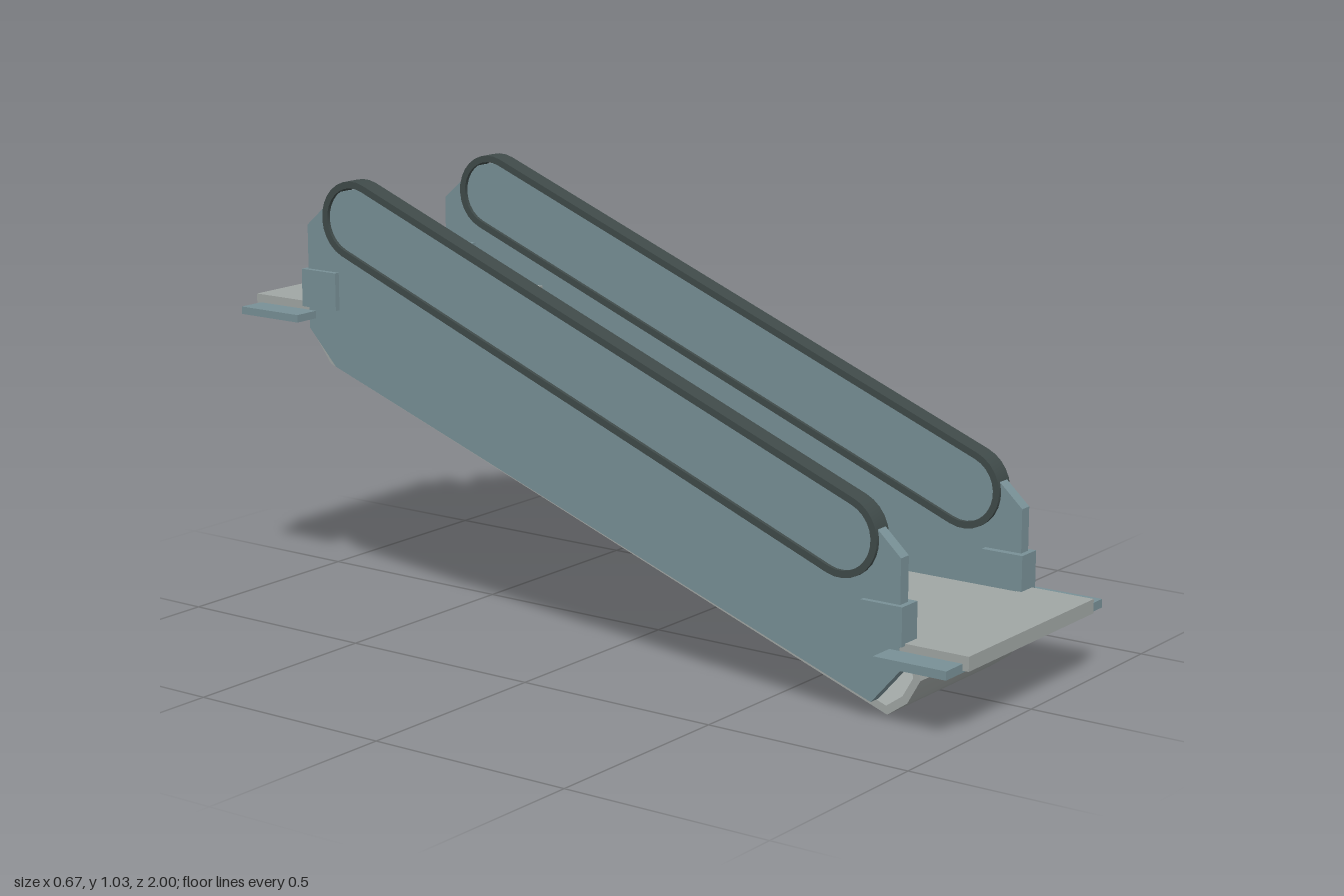
import * as THREE from 'three';
import { toCreasedNormals } from 'three/addons/utils/BufferGeometryUtils.js';

const steel = new THREE.MeshStandardMaterial({ color: 0x789096 });
steel.name = 'blue grey panel';
const stepGrey = new THREE.MeshStandardMaterial({ color: 0xa0a6a4 });
stepGrey.name = 'step grey';
const rubber = new THREE.MeshStandardMaterial({ color: 0x3f4a49 });
rubber.name = 'dark rubber';

const toPoints = (list) => list.map(([z, y]) => new THREE.Vector2(z, y));

// Extrudes a side profile given as (z, y) points across x, centred on x
function profile(name, points, width, x, material, hole) {
  const shape = new THREE.Shape(toPoints(points));
  if (hole) shape.holes.push(new THREE.Path(toPoints(hole)));
  let geo = new THREE.ExtrudeGeometry(shape, { depth: width, bevelEnabled: false });
  geo.translate(0, 0, -width / 2).rotateY(-Math.PI / 2);
  geo = toCreasedNormals(geo, 0.5);
  const mesh = new THREE.Mesh(geo, material);
  mesh.position.x = x;
  mesh.name = name;
  return mesh;
}

// Box from its minimum and maximum corners
function box(name, a, b, material) {
  const size = a.map((v, i) => Math.abs(b[i] - v));
  const mesh = new THREE.Mesh(new THREE.BoxGeometry(...size), material);
  mesh.position.set(...a.map((v, i) => (v + b[i]) / 2));
  mesh.name = name;
  return mesh;
}

// Slanted stadium outline around the two handrail ends
function stadium(r) {
  const low = [0.682, 0.398], high = [-0.682, 0.937], n = 14;
  const slope = Math.atan2(high[1] - low[1], high[0] - low[0]);
  const points = [];
  for (const [c, start] of [[high, slope - Math.PI / 2], [low, slope + Math.PI / 2]]) {
    for (let i = 0; i <= n; i++) {
      const t = start + (Math.PI * i) / n;
      points.push([c[0] + r * Math.cos(t), c[1] + r * Math.sin(t)]);
    }
  }
  return points;
}

export function createModel() {
  const model = new THREE.Group();
  model.name = 'escalator';

  // Stair sheet: lower landing, eight risers, upper landing
  const rises = 8, y0 = 0.185, y1 = 0.728, rise = (y1 - y0) / rises, run = 0.1264;
  const top = [[0.83, y0]];
  for (let i = 0; i < rises; i++) {
    const z = 0.375 - i * run;
    top.push([z, y0 + i * rise], [z, y0 + (i + 1) * rise]);
  }
  top.push([-0.83, y1]);
  const under = top.map(([z, y], i) =>
    [i === 0 || i === top.length - 1 ? z : z - 0.018, y - 0.018]).reverse();
  model.add(profile('steps', [...top, ...under], 0.434, 0, stepGrey));

  // Returning belt below the steps
  model.add(profile('returnBelt', [
    [0.834, 0.167], [0.852, 0.091], [0.82, 0.035], [0.77, 0],
    [-0.812, 0.571], [-0.853, 0.625], [-0.834, 0.7],
    [-0.817, 0.7], [-0.835, 0.63], [-0.802, 0.587],
    [0.767, 0.02], [0.808, 0.049], [0.834, 0.094], [0.817, 0.167],
  ], 0.434, 0, stepGrey));

  // Wide landing plates
  model.add(box('lowerLanding', [-0.267, 0.152, 0.83], [0.267, y0, 1], stepGrey));
  model.add(box('upperLanding', [-0.267, 0.697, -1], [0.267, y1, -0.83], stepGrey));

  for (const side of [1, -1]) {
    const x = 0.2525 * side;
    const group = new THREE.Group();
    group.name = side > 0 ? 'leftBalustrade' : 'rightBalustrade';

    // Side panel
    group.add(profile('sidePanel', [
      [0.83, 0.12], [0.76, 0.04], [-0.75, 0.58], [-0.83, 0.665],
      [-0.83, 0.913], [-0.73, 1.0], [-0.651, 1.016], [0.713, 0.477], [0.83, 0.37],
    ], 0.031, x, steel));

    // Handrail loop
    group.add(profile('handrail', stadium(0.093), 0.049, x, rubber, stadium(0.077)));

    // Brackets clamped over the panel ends
    group.add(box('lowerBracket', [0.22 * side, 0.18, 0.738], [0.281 * side, 0.268, 0.843], steel));
    group.add(box('upperBracket', [0.22 * side, 0.718, -0.84], [0.281 * side, 0.808, -0.735], steel));

    // Side ledges beside the landings
    group.add(box('lowerLedge', [0.255 * side, 0.147, 0.805], [0.333 * side, 0.167, 0.985], steel));
    group.add(box('upperLedge', [0.255 * side, 0.69, -0.988], [0.333 * side, 0.708, -0.81], steel));
    model.add(group);
  }
  return model;
}
